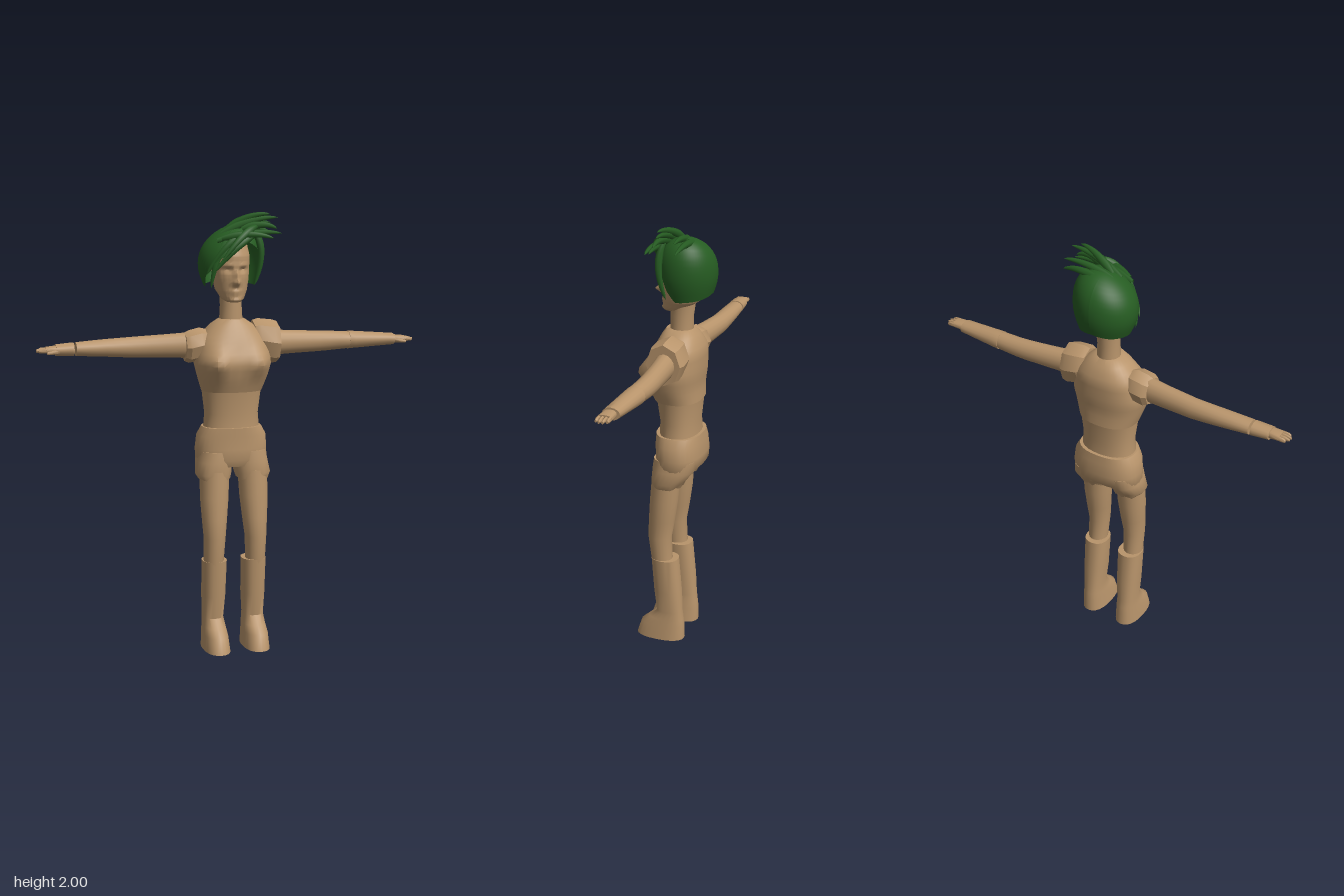
import * as THREE from 'three';
import { toCreasedNormals } from 'three/addons/utils/BufferGeometryUtils.js';

const skin = new THREE.MeshStandardMaterial({ color: 0xb8946b });
skin.name = 'tan skin';
const green = new THREE.MeshStandardMaterial({ color: 0x265c22, side: THREE.DoubleSide });
green.name = 'green hair';

// Linear lookup in a table whose rows start with their key (ascending)
function sample(rows, t) {
  let i = 0;
  while (i < rows.length - 2 && t > rows[i + 1][0]) i++;
  const a = rows[i], b = rows[i + 1];
  const k = THREE.MathUtils.clamp((t - a[0]) / (b[0] - a[0]), 0, 1);
  return a.map((v, j) => (j ? v + (b[j] - v) * k : t));
}

// Capped skin over rings [height, cx, cz, rx, rz]; power < 1 makes the section boxier
function loft(rings, { segs = 20, power = 1, shape = null, alongX = false, crease = 0.8 } = {}) {
  const pos = [], idx = [], n = rings.length;
  const put = (p) => { if (shape) shape(p); pos.push(...(alongX ? [p.y, p.z, p.x] : [p.x, p.y, p.z])); };
  const bend = (v) => Math.sign(v) * Math.abs(v) ** power;
  for (const [y, cx, cz, rx, rz] of rings) {
    for (let j = 0; j < segs; j++) {
      const a = (j / segs) * Math.PI * 2;
      put(new THREE.Vector3(cx + rx * bend(Math.sin(a)), y, cz + rz * bend(Math.cos(a))));
    }
  }
  for (const r of [rings[0], rings[n - 1]]) put(new THREE.Vector3(r[1], r[0], r[2]));
  for (let j = 0; j < segs; j++) {
    const k = (j + 1) % segs;
    for (let i = 0; i < n - 1; i++) {
      const a = i * segs + j, b = i * segs + k;
      idx.push(a, b, b + segs, a, b + segs, a + segs);
    }
    idx.push(n * segs, k, j, n * segs + 1, (n - 1) * segs + j, (n - 1) * segs + k);
  }
  const g = new THREE.BufferGeometry();
  g.setAttribute('position', new THREE.Float32BufferAttribute(pos, 3));
  g.setIndex(idx);
  return toCreasedNormals(g, crease);
}

// Lock of hair from root to tip, bulging away from the head and tapering to a point
function lock(root, tip, bulge, radius) {
  const a = new THREE.Vector3(...root), b = new THREE.Vector3(...tip);
  const mid = a.clone().lerp(b, 0.5);
  const out = mid.clone().sub(new THREE.Vector3(0, 1.74, -0.04)).setLength(bulge);
  const curve = new THREE.QuadraticBezierCurve3(a, mid.add(out), b);
  const g = new THREE.TubeGeometry(curve, 14, radius, 7), gp = g.attributes.position;
  const p = new THREE.Vector3();
  for (let i = 0; i < gp.count; i++) {
    const t = Math.floor(i / 8) / 14;
    p.fromBufferAttribute(gp, i).lerp(curve.getPointAt(t), 1 - Math.min(1, 0.5 + 2 * t) * Math.sqrt(1 - t));
    gp.setXYZ(i, p.x, p.y, p.z);
  }
  return g;
}

const bump = (x, y, sx, sy) => Math.exp(-((x / sx) ** 2) - (y / sy) ** 2);

export function createModel() {
  const model = new THREE.Group();
  const add = (name, geometry, material = skin) => {
    const m = new THREE.Mesh(geometry, material);
    m.name = name;
    model.add(m);
  };

  // Torso with a full chest
  const torso = [[1.205, 0, -0.01, 0.138, 0.107], [1.27, 0, 0.004, 0.16, 0.118], [1.34, 0, 0.008, 0.178, 0.13],
    [1.44, 0, -0.012, 0.155, 0.112], [1.5, 0, -0.014, 0.105, 0.084], [1.53, 0, -0.01, 0.06, 0.06]];
  const torsoRings = Array.from({ length: 14 }, (_, i) => sample(torso, 1.205 + i * 0.025));
  add('torso', loft(torsoRings, { segs: 32, power: 0.85, shape: (p) => {
    if (p.z > 0) p.z += 0.035 * bump(Math.abs(p.x) - 0.1, p.y - 1.34, 0.045, 0.06);
  } }));
  add('waist', loft([[1.03, 0, -0.015, 0.13, 0.09], [1.1, 0, -0.014, 0.124, 0.087], [1.21, 0, -0.012, 0.137, 0.1]],
    { segs: 28, power: 0.9 }));
  add('neck', loft([[1.51, 0, -0.018, 0.054, 0.053], [1.59, 0, -0.018, 0.049, 0.053], [1.67, 0, -0.025, 0.052, 0.058]]));

  // Shorts: hip block and two flared legs with a wavy hem
  add('shortsHips', loft([[0.86, 0, -0.01, 0.15, 0.085], [0.89, 0, -0.018, 0.166, 0.106], [0.94, 0, -0.022, 0.166, 0.108],
    [1.0, 0, -0.018, 0.16, 0.106], [1.04, 0, -0.015, 0.137, 0.104]], { segs: 32, power: 0.82 }));
  for (const [side, s] of [['left', 1], ['right', -1]]) {
    add(side + 'ShortsLeg', loft([[0.8, s * 0.09, 0.016, 0.073, 0.07], [0.825, s * 0.093, 0.011, 0.083, 0.078],
      [0.88, s * 0.084, -0.012, 0.084, 0.1], [0.93, s * 0.08, -0.018, 0.08, 0.1]], { segs: 28, power: 0.9, shape: (p) => {
      if (p.y < 0.81) p.y += 0.006 * Math.sin(p.x * 150);
    } }));

    // Leg and boot
    add(side + 'Leg', loft([[0.4, s * 0.1, 0.042, 0.045, 0.05], [0.53, s * 0.098, 0.054, 0.05, 0.056],
      [0.62, s * 0.096, 0.044, 0.058, 0.062], [0.72, s * 0.094, 0.034, 0.066, 0.066], [0.84, s * 0.09, 0.024, 0.068, 0.066]]));
    add(side + 'Boot', loft([[0, s * 0.095, 0.053, 0.061, 0.118], [0.07, s * 0.096, 0.042, 0.056, 0.106],
      [0.105, s * 0.096, 0.024, 0.052, 0.084], [0.145, s * 0.097, 0.007, 0.048, 0.062],
      [0.25, s * 0.095, 0.016, 0.054, 0.066], [0.42, s * 0.094, 0.03, 0.057, 0.064]], { segs: 24, power: 0.85 }));
  }

  // Arms run along x; rows are [x, z centre, y centre, z radius, y radius]
  const arm = [[0.16, -0.01, 1.415, 0.05, 0.06], [0.3, -0.024, 1.413, 0.045, 0.053], [0.45, -0.034, 1.411, 0.043, 0.047],
    [0.6, -0.03, 1.413, 0.043, 0.038], [0.8, -0.018, 1.412, 0.037, 0.025]];
  const along = (s, rows) => (s > 0 ? rows : rows.map(([t, ...r]) => [-t, ...r]).reverse());
  const limb = (name, s, rows, opts = {}) => add(name, loft(along(s, rows), { segs: 16, alongX: true, ...opts }));
  const slice = (from, to, grow) => Array.from({ length: 9 }, (_, i) => {
    const [t, z, y, rz, ry] = sample(arm, from + ((to - from) * i) / 8);
    return [t, z, y, rz * grow, ry * grow];
  });
  limb('leftUpperArm', 1, slice(0.17, 0.575, 1));
  limb('leftForearm', 1, slice(0.57, 0.79, 1.05));
  limb('rightArm', -1, slice(0.17, 0.71, 1));
  limb('rightWrist', -1, slice(0.72, 0.8, 1.02));

  // Faceted shoulders of different sizes
  const facets = { segs: 8, crease: 0.5 };
  limb('leftShoulder', 1, [[0.1, -0.015, 1.44, 0.07, 0.08], [0.125, -0.015, 1.432, 0.085, 0.095],
    [0.19, -0.012, 1.42, 0.088, 0.1], [0.215, -0.01, 1.418, 0.08, 0.094]], facets);
  limb('rightShoulder', -1, [[0.12, -0.012, 1.425, 0.06, 0.06], [0.15, -0.012, 1.418, 0.074, 0.075],
    [0.2, -0.01, 1.408, 0.074, 0.074], [0.22, -0.01, 1.408, 0.062, 0.064]], facets);

  // Hands: palm, four fingers and a thumb
  for (const [side, s] of [['left', 1], ['right', -1]]) {
    limb(side + 'Palm', s, [[0.775, -0.016, 1.412, 0.025, 0.018], [0.8, -0.016, 1.413, 0.03, 0.019],
      [0.845, -0.015, 1.413, 0.033, 0.014]], { power: 0.8 });
    for (let i = 0; i < 4; i++) {
      const z = 0.009 - i * 0.016, tip = 0.886 - 0.005 * (i - 1.4) ** 2;
      limb(side + 'Finger', s, [[0.835, z, 1.413, 0.008, 0.011], [0.865, z, 1.412, 0.008, 0.01], [tip, z, 1.41, 0.005, 0.006]], { segs: 8 });
    }
    limb(side + 'Thumb', s, [[0.785, 0.008, 1.408, 0.01, 0.01], [0.82, 0.02, 1.404, 0.009, 0.009], [0.842, 0.021, 1.402, 0.005, 0.006]], { segs: 8 });
  }

  // Head with brow, eye hollows, nose, lips and chin pushed out of the surface
  const skull = [[1.608, 0, 0.025, 0.03, 0.035], [1.62, 0, 0.012, 0.05, 0.054], [1.66, 0, -0.016, 0.071, 0.085],
    [1.71, 0, -0.025, 0.081, 0.097], [1.81, 0, -0.035, 0.088, 0.11], [1.86, 0, -0.04, 0.078, 0.098], [1.9, 0, -0.04, 0.045, 0.055]];
  const headRings = Array.from({ length: 45 }, (_, i) => sample(skull, 1.608 + (0.292 * i) / 44));
  add('head', loft(headRings, { segs: 64, crease: 1.1, shape: (p) => {
    if (p.z < 0.01) return;
    const ax = Math.abs(p.x), y = p.y;
    p.z += 0.032 * bump(p.x, y - 1.695, 0.015, 0.013) + 0.018 * bump(p.x, y - 1.722, 0.011, 0.028)
      + 0.009 * bump(p.x, y - 1.656, 0.022, 0.006) + 0.008 * bump(p.x, y - 1.643, 0.018, 0.006)
      + 0.012 * bump(p.x, y - 1.617, 0.025, 0.012) - 0.016 * bump(ax - 0.034, y - 1.75, 0.02, 0.011)
      + 0.006 * bump(ax - 0.036, y - 1.747, 0.012, 0.005) + 0.006 * bump(ax - 0.035, y - 1.772, 0.026, 0.007);
  } }));

  // Hair shell: rows rise from a hem [degrees, height] that follows the face up to a leaning crown
  const hem = [[-180, 1.7], [-140, 1.685], [-82, 1.675], [-66, 1.73], [-45, 1.79], [-10, 1.835],
    [25, 1.865], [48, 1.83], [66, 1.72], [82, 1.675], [140, 1.685], [180, 1.7]];
  const shell = new THREE.PlaneGeometry(1, 1, 60, 14), sp = shell.attributes.position;
  for (let i = 0; i < sp.count; i++) {
    const deg = sp.getX(i) * 360, a = THREE.MathUtils.degToRad(deg), v = sp.getY(i) + 0.5;
    const low = (sample(hem, deg)[1] - 1.68) / 0.265;
    const s = low + (1 - low) * Math.sin((v * Math.PI) / 2);
    const r = s < 0.4 ? 0.82 + 0.18 * Math.sin((s / 0.4) * Math.PI / 2) : Math.sqrt(Math.max(0, 1 - ((s - 0.4) / 0.6) ** 2.4));
    const x = 0.143 * r * Math.sin(a);
    sp.setXYZ(i, x, 1.68 + 0.265 * s + 0.28 * x * Math.max(0, s), -0.042 + 0.134 * r * Math.cos(a));
  }
  shell.computeVertexNormals();
  add('hairShell', shell, green);

  // Fringe swept to the right and down the cheeks
  const fringe = [
    [[0.1, 1.91, 0.05], [-0.1, 1.74, 0.06]],
    [[0.06, 1.92, 0.05], [-0.125, 1.73, 0.03]],
    [[0, 1.92, 0.02], [-0.105, 1.67, 0.03]],
    [[0.1, 1.94, 0.04], [-0.07, 1.79, 0.09]],
    [[0.09, 1.93, 0.03], [0.1, 1.68, 0.02]],
  ];
  for (const [root, tip] of fringe) add('fringeLock', lock(root, tip, 0.08, 0.021), green);

  // Spikes blown to the left from the crown
  const spikes = [
    [[-0.05, 1.91, 0], [0.21, 1.98, 0.02]],
    [[-0.05, 1.91, -0.04], [0.2, 1.955, -0.055]],
    [[-0.08, 1.88, 0.04], [0.22, 1.91, 0.05]],
    [[0, 1.92, -0.08], [0.2, 1.91, -0.06]],
    [[-0.06, 1.89, 0.05], [0.17, 1.89, 0.09]],
    [[-0.02, 1.93, -0.02], [0.17, 1.995, 0.03]],
    [[0.04, 1.93, 0.02], [0.2, 1.93, 0.04]],
  ];
  for (const [root, tip] of spikes) add('hairSpike', lock(root, tip, 0.045, 0.022), green);
  return model;
}
